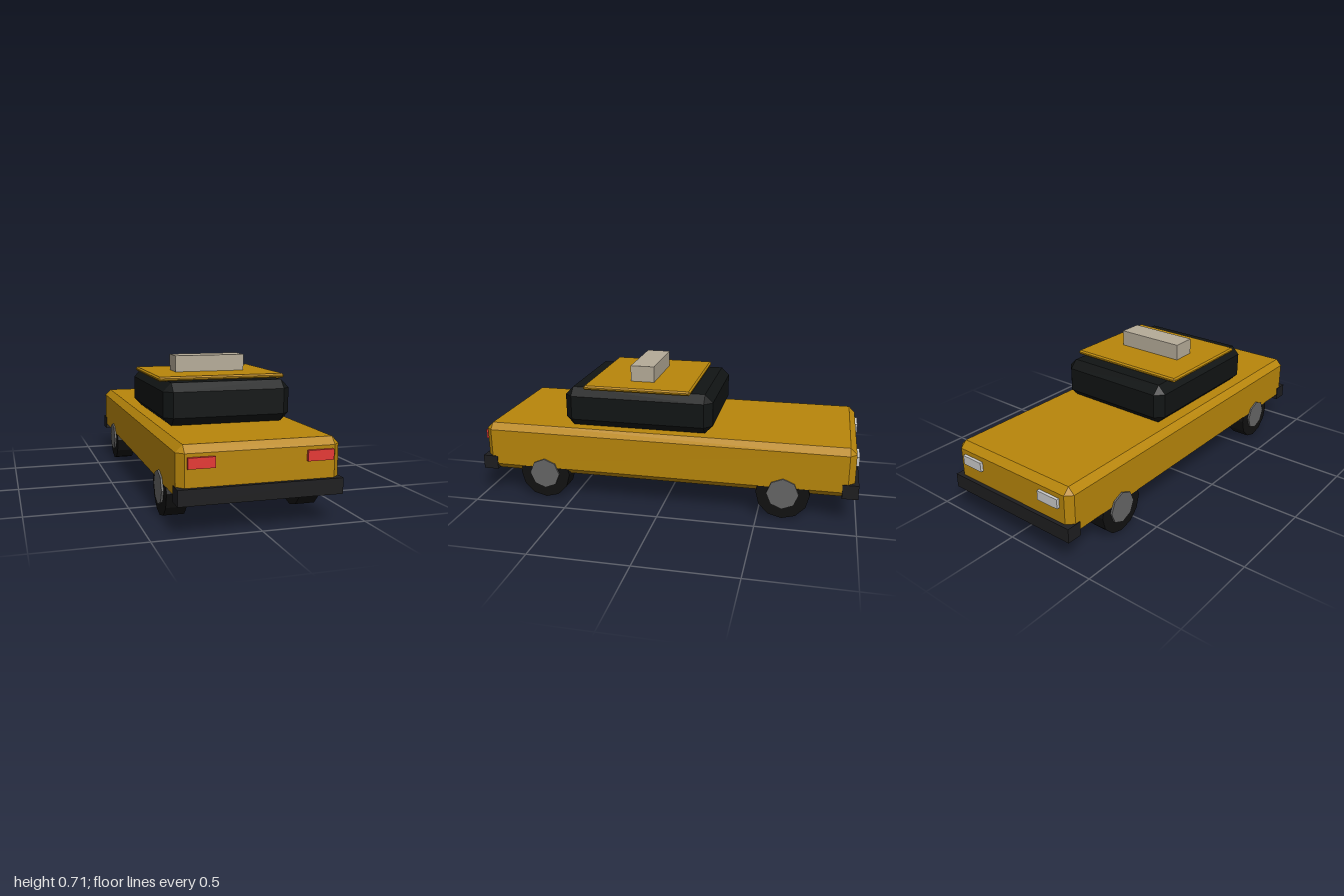
import * as THREE from 'three';
import { ConvexGeometry } from 'three/addons/geometries/ConvexGeometry.js';

const paint = (color) => new THREE.MeshStandardMaterial({ color, flatShading: true });

// Box given by its size, with every edge and corner cut at 45 degrees by c
function chamferBox(w, h, d, c) {
  const points = [];
  for (const x of [-w / 2, w / 2])
    for (const y of [-h / 2, h / 2])
      for (const z of [-d / 2, d / 2]) {
        const ix = x - Math.sign(x) * c, iy = y - Math.sign(y) * c, iz = z - Math.sign(z) * c;
        points.push(
          new THREE.Vector3(x, iy, iz),
          new THREE.Vector3(ix, y, iz),
          new THREE.Vector3(ix, iy, z)
        );
      }
  return new ConvexGeometry(points);
}

export function createModel() {
  const car = new THREE.Group();
  car.name = 'car';

  const yellow = paint(0xb8860b);
  const glass = paint(0x111414);
  const rubber = paint(0x111111);
  const trim = paint(0x1e1e20);
  const hubGrey = paint(0x666666);
  const red = paint(0xe53935);
  const white = paint(0xdddddd);
  const signGrey = paint(0xb5ab98);

  const add = (name, geometry, material, x, y, z, parent = car) => {
    const mesh = new THREE.Mesh(geometry, material);
    mesh.name = name;
    mesh.position.set(x, y, z);
    parent.add(mesh);
    return mesh;
  };

  // Body, cabin, roof and the block on the roof
  add('body', chamferBox(0.76, 0.26, 1.96, 0.033), yellow, 0, 0.266, 0);
  add('cabin', chamferBox(0.65, 0.21, 0.793, 0.042), glass, 0, 0.5, 0.147);
  add('roof', chamferBox(0.66, 0.023, 0.568, 0.008), yellow, 0, 0.614, 0.147);
  add('roofSign', new THREE.BoxGeometry(0.374, 0.09, 0.127), signGrey, 0, 0.665, 0.147);

  // Bumpers
  const bumper = new THREE.BoxGeometry(0.768, 0.074, 0.08);
  add('frontBumper', bumper, trim, 0, 0.176, 0.96);
  add('rearBumper', bumper, trim, 0, 0.176, -0.96);

  // Lights and wheels, mirrored left and right
  const lamp = new THREE.BoxGeometry(0.124, 0.049, 0.04);
  const tyre = new THREE.CylinderGeometry(0.137, 0.137, 0.1, 12).rotateZ(Math.PI / 2);
  const hub = new THREE.CylinderGeometry(0.082, 0.082, 0.03, 8).rotateZ(Math.PI / 2);
  for (const [side, s] of [['left', 1], ['right', -1]]) {
    add(side + 'FrontLight', lamp, red, s * 0.275, 0.322, 0.975);
    add(side + 'RearLight', lamp, white, s * 0.255, 0.315, -0.975);

    for (const [end, z] of [['Front', 0.648], ['Rear', -0.627]]) {
      const wheel = new THREE.Group();
      wheel.name = side + end + 'Wheel';
      wheel.position.set(s * 0.329, 0.137, z);
      add('tyre', tyre, rubber, 0, 0, 0, wheel);
      add('hub', hub, hubGrey, s * 0.045, 0, 0, wheel);
      car.add(wheel);
    }
  }
  return car;
}
